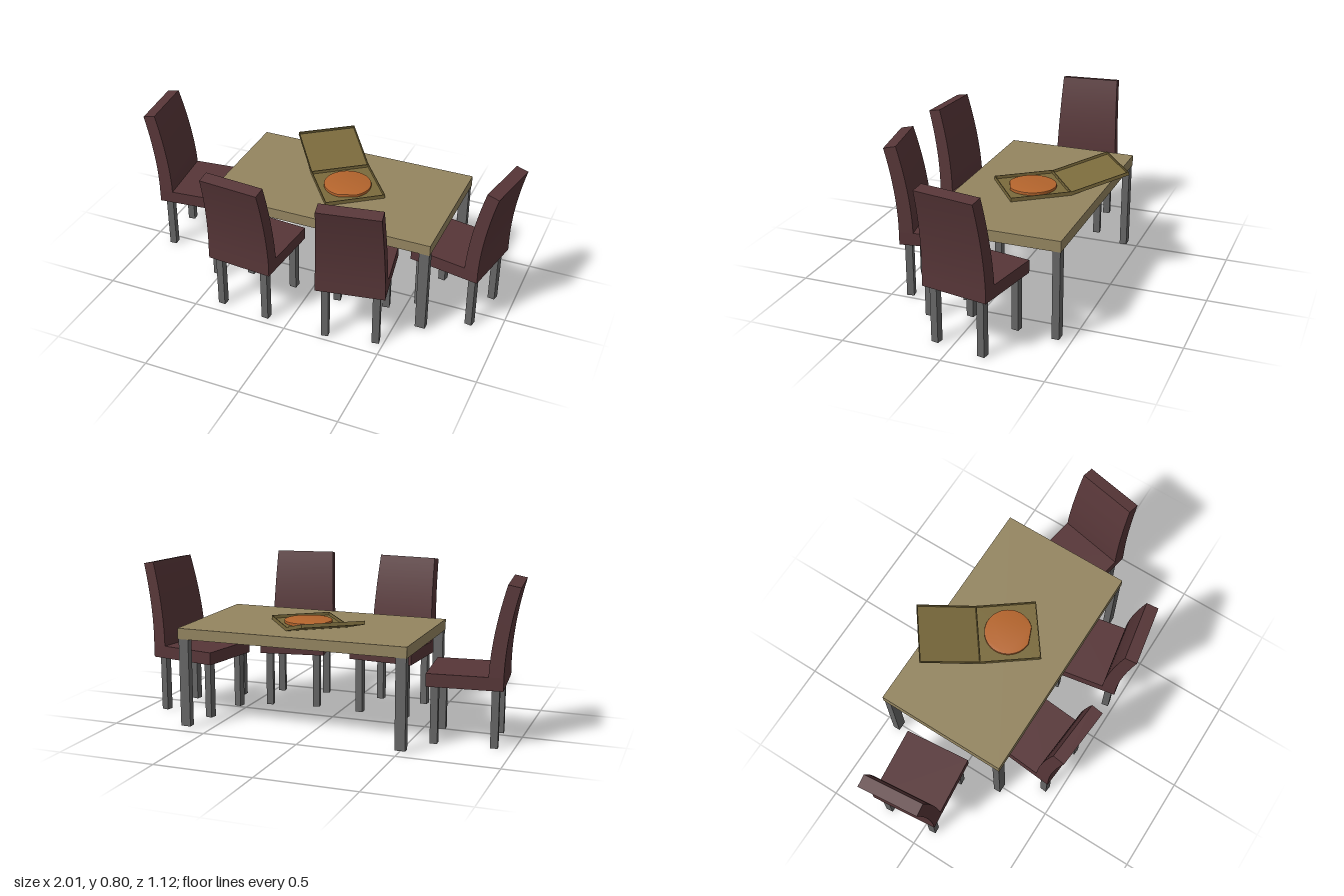
import * as THREE from 'three';
import { toCreasedNormals } from 'three/addons/utils/BufferGeometryUtils.js';

const mat = (color) => new THREE.MeshStandardMaterial({ color });
const tableWood = mat(0x948560);
const chairWood = mat(0x573638);
const legGrey = mat(0x666666);
const cardboard = mat(0x7a6a3c);
const crust = mat(0xb5652d);

function add(parent, name, geometry, material, x = 0, y = 0, z = 0) {
  const mesh = new THREE.Mesh(geometry, material);
  mesh.name = name;
  mesh.position.set(x, y, z);
  parent.add(mesh);
  return mesh;
}

function box(parent, name, material, w, h, d, x, y, z) {
  return add(parent, name, new THREE.BoxGeometry(w, h, d), material, x, y, z);
}

// Four legs at the corners of a rectangle
function legs(parent, name, w, d, y0, y1, dx, dz) {
  for (const sx of [-1, 1]) for (const sz of [-1, 1]) {
    box(parent, name, legGrey, w, y1 - y0, d, sx * dx, (y0 + y1) / 2, sz * dz);
  }
}

// Tapered backrest that curves away from the seat as it rises
function backrestGeometry() {
  const height = 0.44;
  const geo = new THREE.BoxGeometry(1, 1, 1, 1, 12, 1);
  const p = geo.attributes.position;
  for (let i = 0; i < p.count; i++) {
    const t = p.getY(i) + 0.5;
    const rear = p.getZ(i) > 0;
    const width = 0.345 - 0.035 * t;
    const thickness = 0.072 - 0.01 * t;
    const bend = 0.065 * Math.pow(t, 1.8);
    const drop = rear ? 0.012 * t : 0;
    p.setXYZ(i, p.getX(i) * width, 0.355 + t * height - drop,
      0.185 + bend - (rear ? 0 : thickness));
  }
  return toCreasedNormals(geo, 0.5);
}

// Chair whose back lies on its own +z side
function chair(name, x, z, degrees) {
  const g = new THREE.Group();
  g.name = name;
  box(g, 'seat', chairWood, 0.345, 0.065, 0.37, 0, 0.3225, 0);
  add(g, 'backrest', backrestGeometry(), chairWood);
  legs(g, 'chairLeg', 0.037, 0.037, 0, 0.29, 0.128, 0.146);
  g.position.set(x, 0, z);
  g.rotation.y = THREE.MathUtils.degToRad(degrees);
  return g;
}

function table() {
  const g = new THREE.Group();
  g.name = 'table';
  box(g, 'tableTop', tableWood, 1.19, 0.055, 0.69, 0, 0.4875, 0);
  legs(g, 'tableLeg', 0.052, 0.037, 0.01, 0.46, 0.566, 0.323);
  g.position.set(0.06, 0, -0.105);
  return g;
}

// Shallow open tray, resting on y = 0
function tray(name, size, height) {
  const g = new THREE.Group();
  g.name = name;
  const wall = 0.004;
  box(g, 'floor', cardboard, size, wall, size, 0, wall / 2, 0);
  for (const s of [-1, 1]) {
    const offset = s * (size - wall) / 2;
    box(g, 'sideWall', cardboard, wall, height, size, offset, height / 2, 0);
    box(g, 'endWall', cardboard, size, height, wall, 0, height / 2, offset);
  }
  return g;
}

// Open takeaway box with its lid folded back
function openBox() {
  const g = new THREE.Group();
  g.name = 'openBox';
  const size = 0.31;
  g.add(tray('boxBase', size, 0.02));
  const hinge = new THREE.Group();
  hinge.name = 'boxLid';
  hinge.position.z = -size / 2;
  hinge.rotation.x = THREE.MathUtils.degToRad(14);
  const lid = tray('lidTray', size, 0.018);
  lid.position.z = -size / 2;
  hinge.add(lid);
  g.add(hinge);
  g.position.set(0.092, 0.515, -0.104);
  g.rotation.y = Math.atan2(0.6, 0.8);
  return g;
}

// Flat round pie with one slice removed
function pizza(parent) {
  const bevel = 0.004;
  const shape = new THREE.Shape();
  shape.moveTo(0, 0);
  shape.absarc(0, 0, 0.118, -Math.PI / 4, -Math.PI / 2 + Math.PI * 2, false);
  shape.closePath();
  const geo = new THREE.ExtrudeGeometry(shape, {
    depth: 0.008, curveSegments: 40, bevelEnabled: true,
    bevelSize: bevel, bevelThickness: bevel, bevelSegments: 2,
  });
  geo.rotateX(-Math.PI / 2);
  add(parent, 'pizza', toCreasedNormals(geo, 0.5), crust, 0.092, 0.523, -0.104);
}

export function createModel() {
  const model = new THREE.Group();
  model.name = 'diningSet';
  model.add(table());
  model.add(chair('rightEndChair', -0.747, -0.094, -84.3));
  model.add(chair('leftEndChair', 0.721, -0.064, 79.3));
  model.add(chair('frontRightChair', -0.238, 0.288, -4.6));
  model.add(chair('frontLeftChair', 0.306, 0.287, 10.3));
  model.add(openBox());
  pizza(model);
  return model;
}
